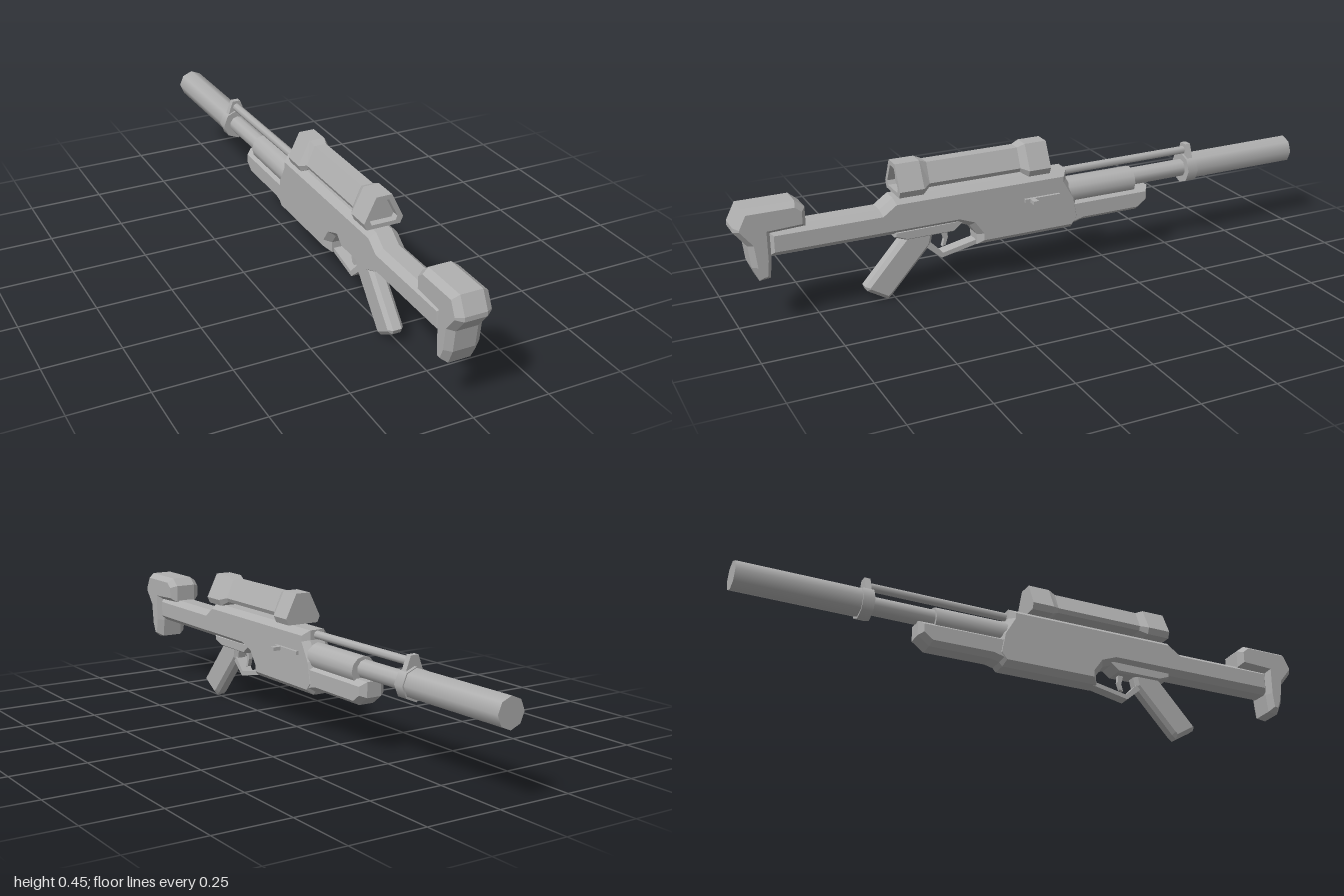
import * as THREE from 'three';

const CX = -0.012; // centre plane of the body

// Side profile in [z, y], extruded across x with chamfered edges.
function slab(profile, width, chamferX, chamferIn) {
  const shape = new THREE.Shape(profile.map(([z, y]) => new THREE.Vector2(z, y)));
  const depth = width - 2 * chamferX;
  const geo = new THREE.ExtrudeGeometry(shape, {
    depth, bevelEnabled: chamferX > 0, bevelThickness: chamferX,
    bevelSize: chamferIn, bevelOffset: -chamferIn, bevelSegments: 1,
  });
  geo.translate(0, 0, -depth / 2);
  geo.rotateY(-Math.PI / 2);
  return geo;
}

// Six-cornered rings [z, halfTop, halfSide, top, side, bottom] joined from +z to -z.
function loft(rings) {
  const pos = [], idx = [], n = 6, last = (rings.length - 1) * n;
  for (const [z, a, b, top, side, bottom] of rings) {
    const c = b * 0.86;
    pos.push(c, bottom, z, b, side, z, a, top, z, -a, top, z, -b, side, z, -c, bottom, z);
  }
  for (let r = 0; r < rings.length - 1; r++) {
    for (let j = 0; j < n; j++) {
      const a = r * n + j, b = r * n + (j + 1) % n;
      idx.push(a, a + n, b, b, a + n, b + n);
    }
  }
  for (let j = 1; j < n - 1; j++) {
    idx.push(0, j, j + 1, last, last + j + 1, last + j);
  }
  const geo = new THREE.BufferGeometry();
  geo.setAttribute('position', new THREE.Float32BufferAttribute(pos, 3));
  geo.setIndex(idx);
  const flat = geo.toNonIndexed();
  flat.computeVertexNormals();
  return flat;
}

// Cylinder lying along z between two z positions.
function rod(radius, z0, z1, y, sides = 8) {
  const geo = new THREE.CylinderGeometry(radius, radius, Math.abs(z1 - z0), sides);
  geo.rotateX(Math.PI / 2);
  geo.translate(0, y, (z0 + z1) / 2);
  return geo;
}

export function createModel() {
  const model = new THREE.Group();
  const grey = new THREE.MeshStandardMaterial({ color: 0xb0b0b0 });
  grey.name = 'grey';
  const add = (name, geo, parent = model, x = CX) => {
    const mesh = new THREE.Mesh(geo, grey);
    mesh.name = name;
    mesh.position.x = x;
    parent.add(mesh);
    return mesh;
  };

  // Receiver with the straight stock bar
  add('receiver', slab([
    [0.9, 0.31], [0.9, 0.222], [0.29, 0.222], [0.245, 0.205], [0.22, 0.17], [0.22, 0.135],
    [-0.12, 0.135], [-0.15, 0.17], [-0.135, 0.25], [-0.10, 0.31], [-0.10, 0.342],
    [0.5, 0.342], [0.545, 0.31],
  ], 0.096, 0.022, 0.018));

  // Lower handguard and the rounded cover above it
  add('lowerHandguard', slab([
    [0, 0.235], [0, 0.145], [-0.12, 0.145], [-0.16, 0.155], [-0.37, 0.155],
    [-0.41, 0.185], [-0.41, 0.235],
  ], 0.092, 0.02, 0.015));
  add('barrelCover', rod(0.045, 0, -0.355, 0.257, 12));

  // Butt
  add('butt', slab([
    [1.0, 0.335], [0.972, 0.39], [0.81, 0.39], [0.78, 0.365], [0.78, 0.305], [0.89, 0.3],
    [0.89, 0.22], [0.897, 0.157], [0.932, 0.153], [0.952, 0.2], [0.96, 0.27], [1.0, 0.32],
  ], 0.115, 0.022, 0.015));

  // Grip and trigger guard
  add('gripHousing', slab([
    [0.5, 0.23], [0.5, 0.21], [0.46, 0.195], [0.3, 0.195], [0.26, 0.23],
  ], 0.07, 0.008, 0.005));
  add('grip', slab([
    [0.44, 0.23], [0.598, 0.055], [0.592, 0.04], [0.525, 0.0], [0.51, 0.012],
    [0.375, 0.16], [0.36, 0.23],
  ], 0.052, 0.012, 0.012));
  add('triggerGuard', slab([
    [0.405, 0.165], [0.34, 0.108], [0.21, 0.135], [0.21, 0.15], [0.335, 0.124], [0.385, 0.175],
  ], 0.04, 0, 0));
  add('trigger', slab([
    [0.335, 0.2], [0.325, 0.165], [0.332, 0.14], [0.32, 0.145], [0.312, 0.17], [0.315, 0.2],
  ], 0.014, 0, 0));

  // Cocking bar and handle on the left side
  const bar = new THREE.BoxGeometry(0.012, 0.012, 0.125);
  bar.translate(0, 0.265, -0.002);
  add('cockingBar', bar, model, 0.04);
  const knob = new THREE.BoxGeometry(0.04, 0.012, 0.018);
  knob.translate(0, 0.265, -0.03 + 0.065);
  add('cockingHandle', knob, model, 0.054);

  // Barrel assembly, turned very slightly to the right
  const barrelGroup = new THREE.Group();
  barrelGroup.name = 'barrelAssembly';
  barrelGroup.position.x = CX;
  barrelGroup.rotation.y = 0.015;
  model.add(barrelGroup);
  add('barrel', rod(0.03, -0.1, -0.62, 0.262, 10), barrelGroup, 0);
  add('suppressor', rod(0.048, -0.6, -1.0, 0.264), barrelGroup, 0);
  add('collar', rod(0.053, -0.565, -0.603, 0.262), barrelGroup, 0);
  add('gasTube', rod(0.014, -0.08, -0.58, 0.325), barrelGroup, 0);
  const sight = new THREE.ExtrudeGeometry(new THREE.Shape([
    [-0.036, 0.29], [0.036, 0.29], [0.014, 0.348], [-0.014, 0.348],
  ].map(p => new THREE.Vector2(...p))), { depth: 0.02, bevelEnabled: false });
  sight.translate(0, 0, -0.592);
  add('frontSight', sight, barrelGroup, 0);

  // Scope: recessed eyepiece, slim waist, wide front block
  const wide = [0.026, 0.065, 0.45, 0.37, 0.349];
  const lens = [0.016, 0.046, 0.435, 0.375, 0.362];
  const slim = [0.02, 0.047, 0.44, 0.378, 0.364];
  add('scope', loft([
    [0.465, ...lens], [0.49, ...lens], [0.49, ...wide], [0.41, ...wide], [0.385, ...slim],
    [0.075, ...slim], [0.05, ...wide], [-0.025, ...wide],
  ]), model, -0.008);

  return model;
}
